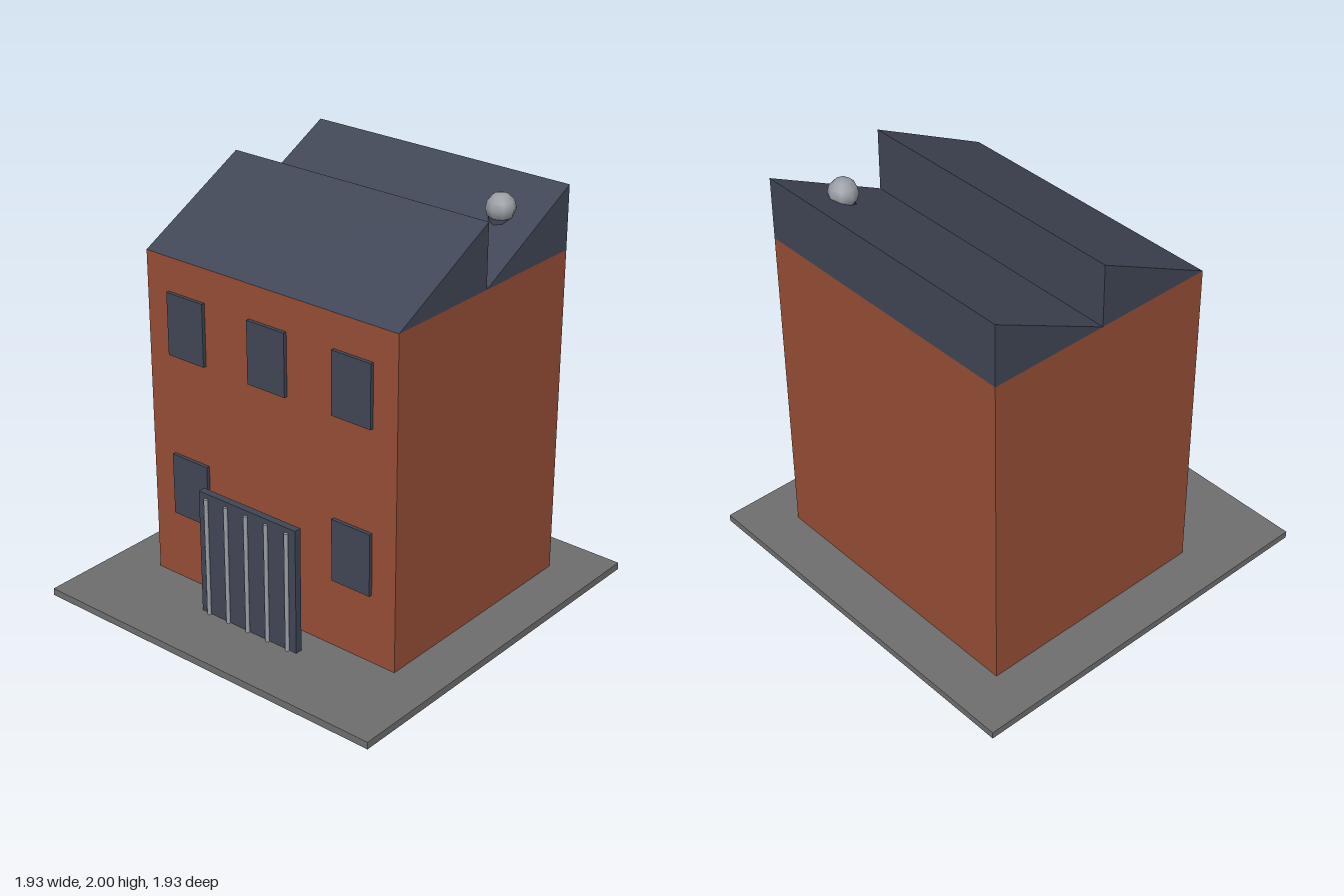
import * as THREE from 'three';

const material = (name, color, extra = {}) => {
  const m = new THREE.MeshStandardMaterial({ color, ...extra });
  m.name = name;
  return m;
};

export function createModel() {
  const brick = material('brick', 0x974e35);
  const slate = material('slate', 0x404655);
  const paving = material('paving', 0x6e6e6e);
  const metal = material('metal', 0x9a9fa5);
  const model = new THREE.Group();
  model.name = 'building';

  const add = (name, geometry, mat, x = 0, y = 0, z = 0) => {
    const mesh = new THREE.Mesh(geometry, mat);
    mesh.name = name;
    mesh.position.set(x, y, z);
    model.add(mesh);
    return mesh;
  };
  // Box given by its size, centre x, bottom y and back z
  const box = (name, mat, w, h, d, x, y, z) =>
    add(name, new THREE.BoxGeometry(w, h, d), mat, x, y + h / 2, z + d / 2);

  const ground = 0.036, eaves = 1.688, front = 0.485, back = -0.727, width = 1.454;

  box('groundSlab', paving, 1.934, ground, 1.934, 0, 0, -0.967);
  box('walls', brick, width, eaves - ground, front - back, 0, ground, back);

  // Sawtooth roof: two wedges, sloping at the front and upright at the back
  const depth = (front - back) / 2;
  const wedge = new THREE.Shape([
    new THREE.Vector2(0, 0), new THREE.Vector2(depth, 0), new THREE.Vector2(depth, 2 - eaves),
  ]);
  const wedgeGeometry = new THREE.ExtrudeGeometry(wedge, { depth: width, bevelEnabled: false });
  wedgeGeometry.translate(0, 0, -width / 2).rotateY(Math.PI / 2);
  for (let i = 0; i < 2; i++) {
    add(i ? 'backRoof' : 'frontRoof', wedgeGeometry, slate, 0, eaves, front - i * depth);
  }

  // Three upper windows, and two lower ones beside the door
  for (const x of [-0.485, 0, 0.485]) {
    box('upperWindow', slate, 0.218, 0.31, 0.018, x, 1.21, front);
    if (x) box('lowerWindow', slate, 0.218, 0.313, 0.018, x, 0.387, front);
  }
  box('door', slate, 0.29, 0.536, 0.026, 0, ground, front);

  // Free-standing gate with five round bars on its face
  box('gatePanel', slate, 0.58, 0.634, 0.036, 0, ground, 0.612);
  const bar = new THREE.CylinderGeometry(0.01, 0.01, 0.609, 8);
  for (let i = -2; i <= 2; i++) add('gateBar', bar, metal, i * 0.121, ground + 0.3045, 0.654);

  // Roof vent: short pipe under a round cap
  add('ventPipe', new THREE.CylinderGeometry(0.055, 0.055, 0.11, 8), slate, 0.53, 1.83, -0.483);
  add('ventCap', new THREE.SphereGeometry(0.071, 8, 6), metal, 0.53, 1.915, -0.483);

  return model;
}
